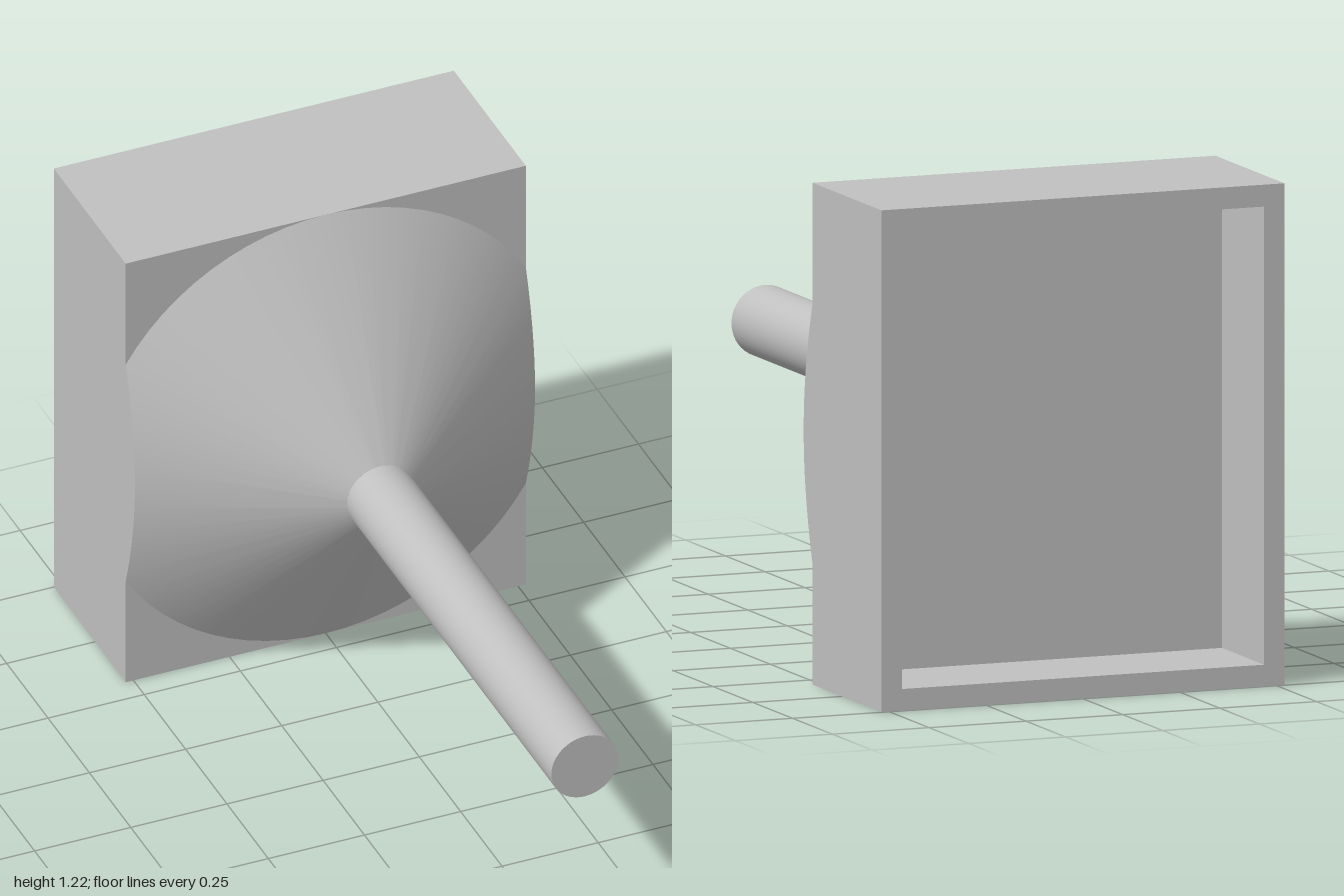
import * as THREE from 'three';
import { toCreasedNormals } from 'three/addons/utils/BufferGeometryUtils.js';

const HALF_W = 0.52, HEIGHT = 1.215, MID = HEIGHT / 2;
const BACK = -1, FLOOR = -0.735, FRONT = -0.565, NECK = -0.235;
const RIM = 0.053, ROD_R = 0.087;

// Rectangle centred on the axis
function rectangle(Type, w, h) {
  return new Type([[-w, -h], [w, -h], [w, h], [-w, h]].map(([x, y]) => new THREE.Vector2(x, y)));
}

// Cone frustum along z, trimmed flat where it meets the housing sides
function trimmedCone() {
  const corner = Math.acos(HALF_W / MID);
  const stops = [-corner, corner, Math.PI - corner, Math.PI + corner, 2 * Math.PI - corner];
  const slope = (FRONT - NECK) / (MID - ROD_R);
  const pos = [];
  const quad = (a, b, c, d) => pos.push(...a, ...b, ...c, ...a, ...c, ...d);
  const steps = 24;
  for (let s = 0; s < 4; s++) {
    const flat = s % 2 === 0;
    const ring = (i) => {
      const t = stops[s] + (stops[s + 1] - stops[s]) * i / steps;
      const r = flat ? HALF_W / Math.abs(Math.cos(t)) : MID;
      const at = (q, z) => [q * Math.cos(t), q * Math.sin(t), z];
      return [at(ROD_R, NECK), at(r, NECK + (r - ROD_R) * slope), at(r, FRONT)];
    };
    for (let i = 0; i < steps; i++) {
      const a = ring(i), b = ring(i + 1);
      quad(a[0], a[1], b[1], b[0]);
      // Flat side wall down to the housing; the end points already touch it
      if (!flat) continue;
      if (i === 0) pos.push(...a[2], ...b[2], ...b[1]);
      else if (i === steps - 1) pos.push(...a[1], ...a[2], ...b[2]);
      else quad(a[1], a[2], b[2], b[1]);
    }
  }
  const geometry = new THREE.BufferGeometry();
  geometry.setAttribute('position', new THREE.Float32BufferAttribute(pos, 3));
  return toCreasedNormals(geometry, 0.5);
}

export function createModel() {
  const group = new THREE.Group();
  const grey = new THREE.MeshStandardMaterial({ color: 0xc0c0c0 });
  grey.name = 'light grey';
  const add = (name, geometry, z = 0) => {
    const mesh = new THREE.Mesh(geometry, grey);
    mesh.name = name;
    mesh.position.set(0, MID, z);
    group.add(mesh);
  };

  // Rectangular housing, open at the back
  const frame = rectangle(THREE.Shape, HALF_W, MID);
  frame.holes.push(rectangle(THREE.Path, HALF_W - RIM, MID - RIM));
  add('housingWalls', new THREE.ExtrudeGeometry(frame, { depth: FRONT - BACK, bevelEnabled: false }), BACK);

  // Solid front slab that closes the recess
  add('recessFloor', new THREE.BoxGeometry(2 * (HALF_W - RIM), 2 * (MID - RIM), FRONT - FLOOR), (FRONT + FLOOR) / 2);

  // Tapered transition and handle rod
  add('taperedNeck', trimmedCone());
  const rod = new THREE.CylinderGeometry(ROD_R, ROD_R, 1 - NECK, 64).rotateX(Math.PI / 2);
  add('rod', rod, (1 + NECK) / 2);

  return group;
}
